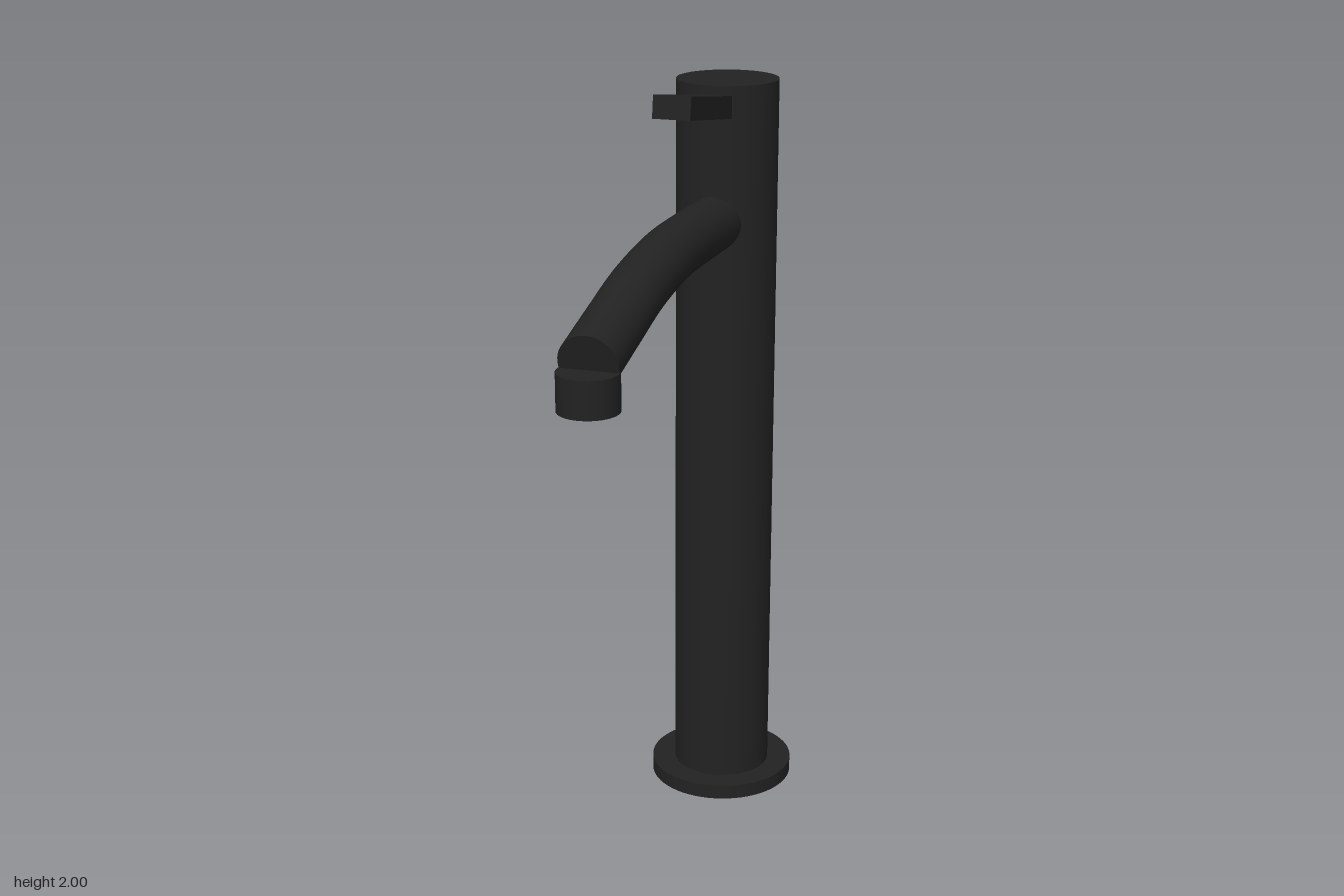
import * as THREE from 'three';

export function createModel() {
  const model = new THREE.Group();
  const matteBlack = new THREE.MeshStandardMaterial({ color: 0x222222 });
  matteBlack.name = 'matteBlack';

  const columnZ = -0.47;

  function add(name, geometry, x = 0, y = 0, z = 0) {
    const mesh = new THREE.Mesh(geometry, matteBlack);
    mesh.name = name;
    mesh.position.set(x, y, z);
    model.add(mesh);
    return mesh;
  }

  // upright cylinder given by its bottom and top heights
  function disc(name, radius, bottom, top, z) {
    return add(name, new THREE.CylinderGeometry(radius, radius, top - bottom, 64), 0, (bottom + top) / 2, z);
  }

  disc('baseFlange', 0.196, 0, 0.04, columnZ);
  disc('column', 0.132, 0.04, 1.97, columnZ);
  disc('aerator', 0.072, 1.412, 1.502, 0.594);

  // spout: gently arched tube, rooted inside the column
  const spoutPath = new THREE.CatmullRomCurve3([
    [1.613, -0.45], [1.618, -0.34], [1.625, -0.1], [1.624, 0.04],
    [1.6, 0.25], [1.56, 0.42], [1.517, 0.592],
  ].map(([y, z]) => new THREE.Vector3(0, y, z)));
  const spoutRadius = 0.071;
  add('spout', new THREE.TubeGeometry(spoutPath, 48, spoutRadius, 40, false));

  // flat cap closing the spout tip
  const tip = spoutPath.getPoint(1);
  const cap = add('spoutEndCap', new THREE.CircleGeometry(spoutRadius, 40), tip.x, tip.y, tip.z);
  cap.lookAt(tip.clone().add(spoutPath.getTangent(1)));

  // lever: flat bar rising toward the front
  const tilt = THREE.MathUtils.degToRad(9);
  const length = 0.45;
  const leverGeometry = new THREE.BoxGeometry(0.094, 0.056, length);
  leverGeometry.translate(0, 0, -length / 2);
  add('lever', leverGeometry, 0, 1.972, 0).rotation.x = -tilt;

  return model;
}
